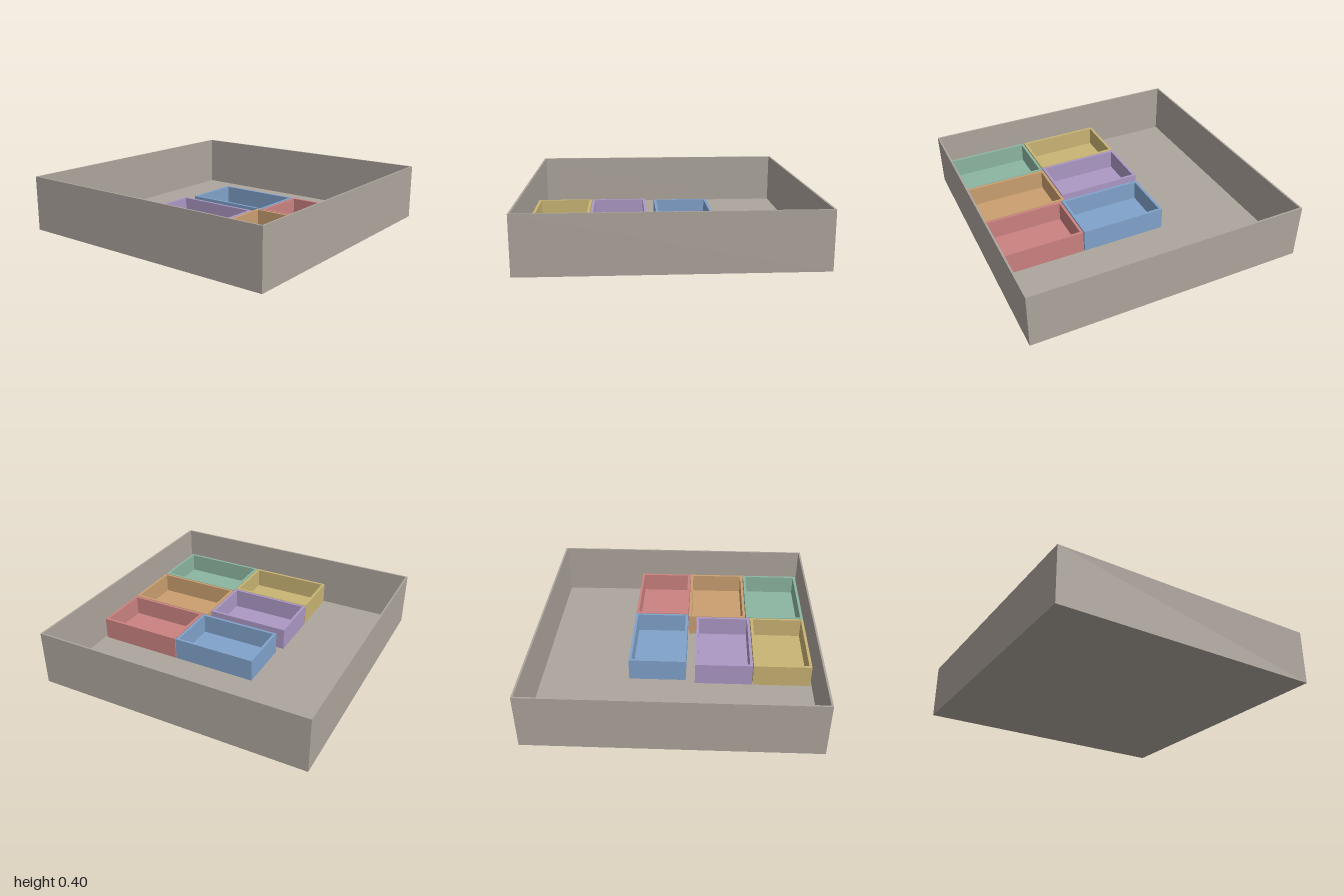
import * as THREE from 'three';

const mat = (name, color) => {
  const m = new THREE.MeshStandardMaterial({ color });
  m.name = name;
  return m;
};

// Rectangle outline, centred on the origin
function rect(Type, w, d) {
  const p = new Type();
  p.moveTo(-w / 2, -d / 2);
  p.lineTo(w / 2, -d / 2);
  p.lineTo(w / 2, d / 2);
  p.lineTo(-w / 2, d / 2);
  p.closePath();
  return p;
}

// Open-topped box: a ring of walls around an inset floor, standing on y = 0
function openBox(name, w, h, d, wall, floor, material) {
  const group = new THREE.Group();
  group.name = name;

  const shape = rect(THREE.Shape, w, d);
  shape.holes.push(rect(THREE.Path, w - 2 * wall, d - 2 * wall));
  const ring = new THREE.ExtrudeGeometry(shape, { depth: h, bevelEnabled: false });
  ring.rotateX(-Math.PI / 2);
  const walls = new THREE.Mesh(ring, material);
  walls.name = name + 'Walls';

  const base = new THREE.Mesh(new THREE.BoxGeometry(w - 2 * wall, floor, d - 2 * wall), material);
  base.name = name + 'Floor';
  base.position.y = floor / 2;

  group.add(walls, base);
  return group;
}

export function createModel() {
  const model = new THREE.Group();
  model.name = 'drawerWithBins';

  // Drawer tray
  const trayFloor = 0.013;
  model.add(openBox('drawer', 2, 0.4, 2, 0.013, trayFloor, mat('warm grey', 0xada59d)));

  // Organiser bins: name, colour, x range, z range
  const bins = [
    ['yellowBin', 0xc9b474, -0.976, -0.56, -0.324, 0.301],
    ['purpleBin', 0xac98c4, -0.554, -0.139, -0.324, 0.301],
    ['blueBin', 0x80a2ca, -0.072, 0.343, -0.292, 0.334],
    ['greenBin', 0x8cb6a0, -0.976, -0.528, 0.308, 0.969],
    ['orangeBin', 0xca9f70, -0.522, -0.078, 0.308, 0.969],
    ['redBin', 0xca8280, -0.072, 0.343, 0.341, 0.969],
  ];
  for (const [name, color, x0, x1, z0, z1] of bins) {
    const bin = openBox(name, x1 - x0, 0.166, z1 - z0, 0.02, 0.02, mat(name + ' plastic', color));
    bin.position.set((x0 + x1) / 2, trayFloor, (z0 + z1) / 2);
    model.add(bin);
  }
  return model;
}
